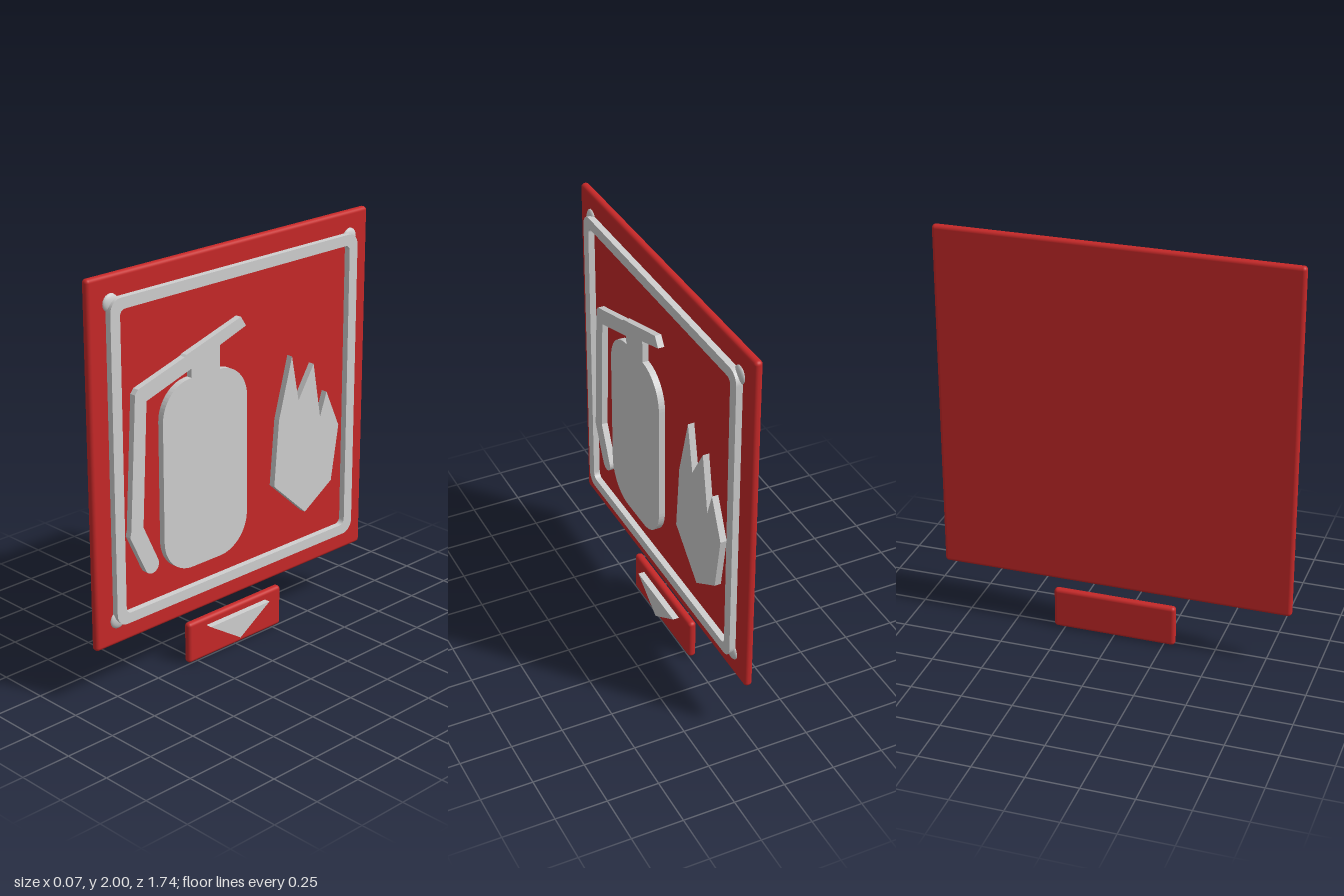
import * as THREE from 'three';
import { RoundedBoxGeometry } from 'three/addons/geometries/RoundedBoxGeometry.js';

const FACE = 0.004;   // x of the plates' front face
const RELIEF = 0.035; // x of the raised symbols' front face

export function createModel() {
  const model = new THREE.Group();
  model.name = 'extinguisherSign';

  const red = new THREE.MeshStandardMaterial({ color: 0xc62828 });
  red.name = 'signal red';
  const grey = new THREE.MeshStandardMaterial({ color: 0xcfcfcf });
  grey.name = 'light grey';

  const add = (name, geometry, material, parent = model) => {
    const mesh = new THREE.Mesh(geometry, material);
    mesh.name = name;
    parent.add(mesh);
    return mesh;
  };

  // Shapes are drawn as seen from +x (across = -z, up = y), then raised along +x
  const raise = (name, shape, parent = model) => {
    const geometry = new THREE.ExtrudeGeometry(shape, {
      depth: RELIEF - FACE + 0.004, bevelEnabled: false, curveSegments: 8,
    });
    geometry.rotateY(Math.PI / 2).translate(FACE - 0.004, 0, 0);
    return add(name, geometry, grey, parent);
  };
  const polygon = (points) => new THREE.Shape(points.map(([u, y]) => new THREE.Vector2(u, y)));

  // Rounded rectangle outline, usable as a shape or a hole
  const roundRect = (path, u0, y0, u1, y1, r) => {
    path.moveTo(u0 + r, y0);
    path.lineTo(u1 - r, y0);
    path.absarc(u1 - r, y0 + r, r, -Math.PI / 2, 0);
    path.lineTo(u1, y1 - r);
    path.absarc(u1 - r, y1 - r, r, 0, Math.PI / 2);
    path.lineTo(u0 + r, y1);
    path.absarc(u0 + r, y1 - r, r, Math.PI / 2, Math.PI);
    path.lineTo(u0, y0 + r);
    path.absarc(u0 + r, y0 + r, r, Math.PI, Math.PI * 1.5);
    return path;
  };

  // Backing plates
  const plate = (name, y0, y1, width) => {
    const geometry = new RoundedBoxGeometry(0.04, y1 - y0, width, 4, 0.018);
    add(name, geometry, red).position.set(FACE - 0.02, (y0 + y1) / 2, 0);
  };
  plate('mainPlate', 0.268, 2, 1.735);
  plate('arrowPlate', 0.003, 0.21, 0.61);

  // Border frame
  const frame = roundRect(new THREE.Shape(), -0.768, 0.37, 0.768, 1.898, 0.06);
  frame.holes.push(roundRect(new THREE.Path(), -0.714, 0.42, 0.714, 1.846, 0.028));
  raise('borderFrame', frame);

  // Domed screw heads in the corners
  const dome = new THREE.SphereGeometry(0.043, 20, 6, 0, Math.PI * 2, 0, Math.PI / 2);
  dome.scale(1, 0.42, 1).rotateZ(-Math.PI / 2);
  for (const z of [-0.742, 0.742]) {
    for (const y of [0.393, 1.876]) add('screwHead', dome, grey).position.set(FACE - 0.001, y, z);
  }

  // Extinguisher symbol: tank, and one outline for neck, lever and hose
  const extinguisher = new THREE.Group();
  extinguisher.name = 'extinguisherSymbol';
  model.add(extinguisher);
  raise('tank', roundRect(new THREE.Shape(), -0.48, 0.522, 0.04, 1.44, 0.172), extinguisher);

  const hose = polygon([
    [-0.305, 1.44], [-0.132, 1.44], [-0.132, 1.552], [0.032, 1.607], [0, 1.655],
    [-0.335, 1.555], [-0.345, 1.547], [-0.622, 1.465], [-0.64, 1.443],
    [-0.677, 0.81], [-0.684, 0.782], [-0.6, 0.605],
  ]);
  hose.absarc(-0.557, 0.611, 0.041, Math.PI * 1.1, Math.PI * 2.17);
  [[-0.605, 0.81], [-0.574, 1.4], [-0.305, 1.484]].forEach(([u, y]) => hose.lineTo(u, y));
  raise('neckLeverAndHose', hose, extinguisher);

  // Flame symbol
  raise('flameSymbol', polygon([
    [0.333, 1.387], [0.25, 1.09], [0.222, 0.763], [0.434, 0.571], [0.614, 0.685],
    [0.66, 0.96], [0.572, 1.153], [0.53, 1.035], [0.48, 1.315], [0.38, 1.157],
  ]));

  // Arrow pointing down
  raise('downArrow', polygon([[-0.195, 0.171], [0, 0.047], [0.195, 0.171]]));

  return model;
}
